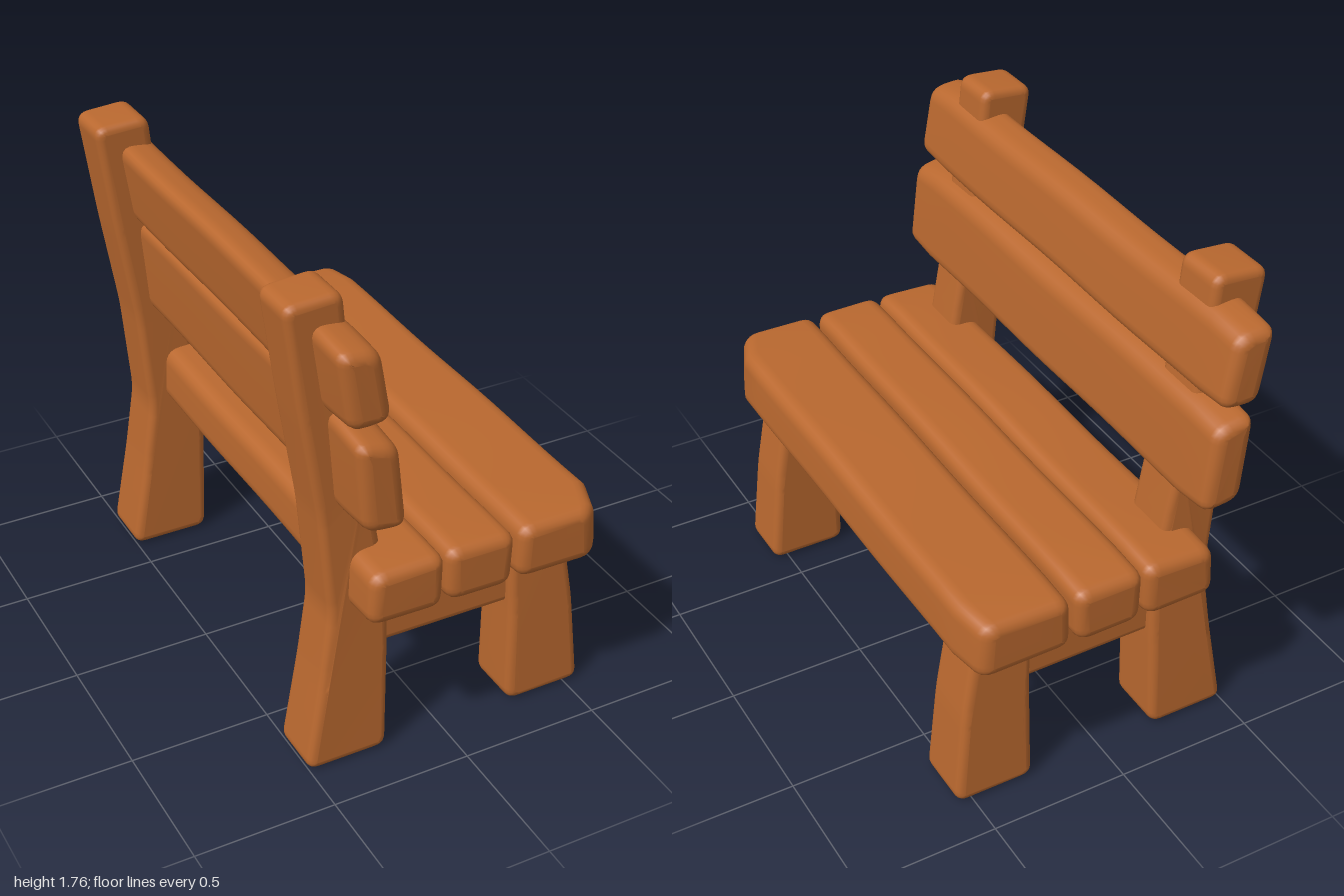
import * as THREE from 'three';
import { mergeVertices } from 'three/addons/utils/BufferGeometryUtils.js';

// Outline in x/y with every corner rounded
function roundedShape(points, radius) {
  const pts = points.map(([x, y]) => new THREE.Vector2(x, y));
  const shape = new THREE.Shape();
  pts.forEach((p, i) => {
    const prev = pts[(i + pts.length - 1) % pts.length];
    const next = pts[(i + 1) % pts.length];
    const toward = (q) => p.clone().add(
      q.clone().sub(p).setLength(Math.min(radius, p.distanceTo(q) * 0.45)));
    const a = toward(prev), b = toward(next);
    if (i === 0) shape.moveTo(a.x, a.y); else shape.lineTo(a.x, a.y);
    shape.quadraticCurveTo(p.x, p.y, b.x, b.y);
  });
  shape.closePath();
  return shape;
}

// Soft-edged timber running from z0 to z1, optionally reshaped by a rule
function timber(points, z0, z1, { radius = 0.055, bevel = 0.04, steps = 1, warp } = {}) {
  const geo = new THREE.ExtrudeGeometry(roundedShape(points, radius), {
    depth: z1 - z0 - 2 * bevel, steps, curveSegments: 5,
    bevelEnabled: true, bevelThickness: bevel, bevelSize: bevel,
    bevelOffset: -bevel, bevelSegments: 4,
  });
  geo.translate(0, 0, z0 + bevel);
  if (warp) {
    const pos = geo.attributes.position;
    const v = new THREE.Vector3();
    for (let i = 0; i < pos.count; i++) {
      warp(v.fromBufferAttribute(pos, i));
      pos.setXYZ(i, v.x, v.y, v.z);
    }
  }
  geo.deleteAttribute('normal');
  geo.deleteAttribute('uv');
  const smooth = mergeVertices(geo, 1e-4);
  smooth.computeVertexNormals();
  return smooth;
}

export function createModel() {
  const bench = new THREE.Group();
  bench.name = 'bench';
  const wood = new THREE.MeshStandardMaterial({ color: 0xb9682f });
  wood.name = 'warm brown wood';
  const add = (name, geo) => {
    const mesh = new THREE.Mesh(geo, wood);
    mesh.name = name;
    bench.add(mesh);
  };

  // Plank ends shrink slightly, and the long sides waver a little
  const plankWarp = (yMid, frontTaper = 0) => (v) => {
    const end = THREE.MathUtils.smoothstep(Math.abs(v.z), 0.82, 1);
    v.y = yMid + (v.y - yMid) * (1 - 0.1 * end) + 0.003 * Math.sin(v.z * 7 + yMid * 9);
    if (v.x > 0.35) v.x -= frontTaper * end * (v.z > 0 ? 1 : 0.4);
  };

  // Seat planks
  const seat = [
    ['rearSeatPlank', [[-0.355, 0.62], [-0.085, 0.615], [-0.08, 0.835], [-0.345, 0.825]], 0],
    ['middleSeatPlank', [[-0.07, 0.62], [0.172, 0.615], [0.18, 0.832], [-0.075, 0.835]], 0],
    ['frontSeatPlank', [[0.192, 0.62], [0.555, 0.615], [0.54, 0.835], [0.198, 0.832]], 0.08],
  ];
  for (const [name, outline, taper] of seat) {
    add(name, timber(outline, -0.955, 0.96, { steps: 16, warp: plankWarp(0.725, taper) }));
  }

  // Leaning backrest planks
  add('lowerBackPlank', timber([[-0.395, 1.01], [-0.245, 0.995], [-0.28, 1.34], [-0.425, 1.37]],
    -1, 1, { steps: 16, warp: plankWarp(1.18) }));
  add('upperBackPlank', timber([[-0.435, 1.365], [-0.29, 1.375], [-0.335, 1.655], [-0.48, 1.67]],
    -0.995, 0.98, { steps: 16, warp: plankWarp(1.515) }));

  // Posts, front legs and cross rails on both ends
  const post = [[-0.51, 0], [-0.21, 0], [-0.2, 0.4], [-0.2, 0.65], [-0.235, 0.85],
    [-0.27, 1.05], [-0.33, 1.4], [-0.365, 1.76], [-0.565, 1.745], [-0.51, 1.35],
    [-0.45, 0.98], [-0.415, 0.6], [-0.45, 0.35]];
  const leg = [[0.265, 0], [0.56, 0], [0.525, 0.35], [0.47, 0.68], [0.26, 0.68], [0.268, 0.4]];
  const rail = [[-0.3, 0.4], [0.36, 0.395], [0.36, 0.68], [-0.3, 0.68]];
  for (const side of [1, -1]) {
    const label = side > 0 ? 'left' : 'right';
    const [z0, z1] = side > 0 ? [0.613, 0.8] : [-0.818, -0.62];
    // The foot flares outward below the seat
    const flare = (v) => {
      const outer = (side * v.z - 0.615) / 0.19;
      v.z += side * 0.03 * outer * Math.max(0, 1 - v.y / 0.8);
    };
    add(label + 'BackPost', timber(post, z0, z1, { radius: 0.045, bevel: 0.028, warp: flare }));
    add(label + 'FrontLeg', timber(leg, z0, z1, { radius: 0.045, bevel: 0.028, warp: flare }));
    add(label + 'CrossRail', timber(rail, z0 + 0.025, z1 - 0.025, { radius: 0.03, bevel: 0.025 }));
  }
  return bench;
}
